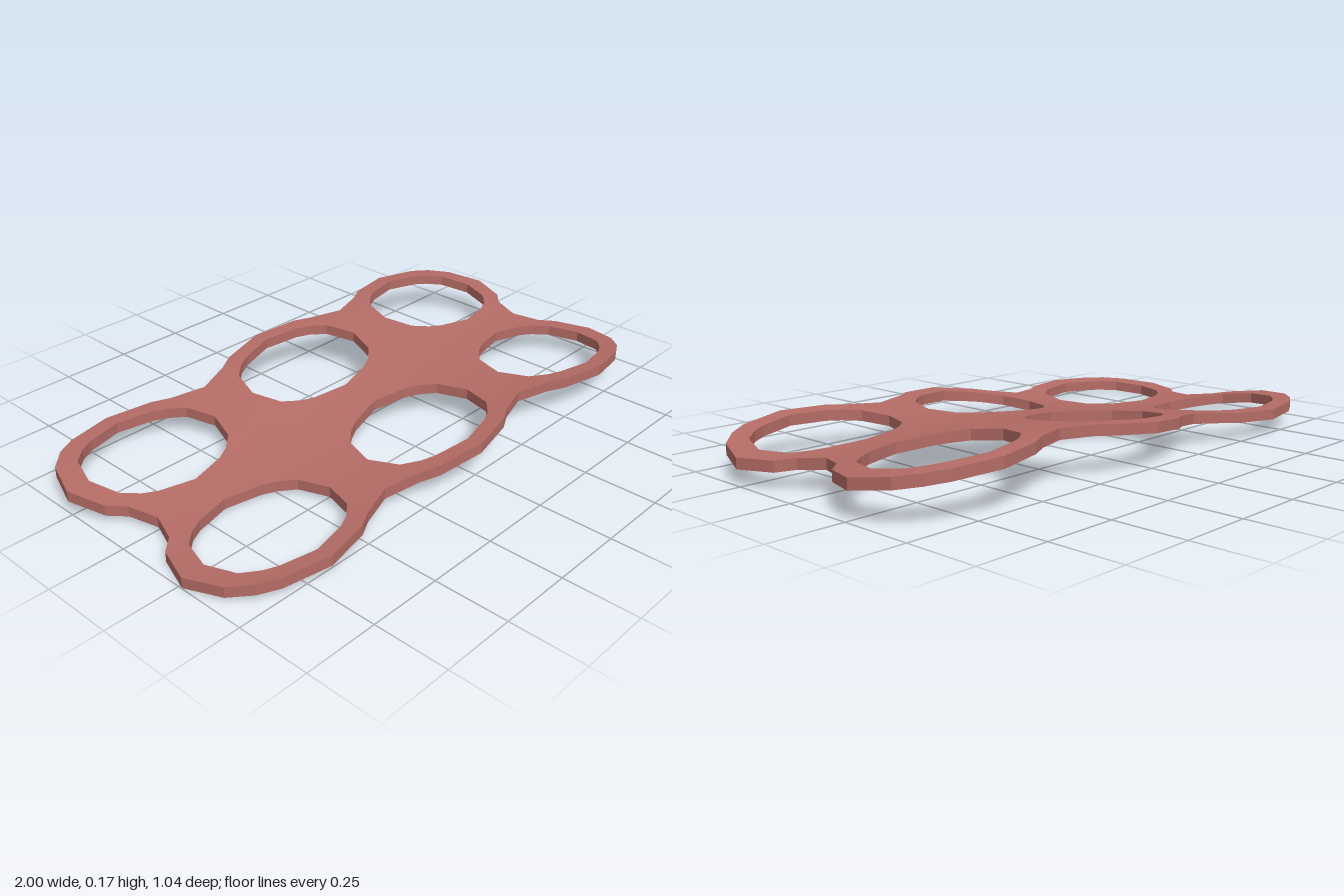
import * as THREE from 'three';
import { toCreasedNormals } from 'three/addons/utils/BufferGeometryUtils.js';

const THICK = 0.036;
const PITCH_X = 0.67, PITCH_Z = 0.265;
const RADIAL_STEPS = 3;

// Gentle bend of the sheet: one wave along x plus one along z
const wave = (at, height) => {
  const curve = new THREE.CubicInterpolant(at, height, 1);
  return (t) => curve.evaluate(t)[0];
};
const bendX = wave(
  [-1.01, -0.8, -0.6, -0.4, -0.2, 0, 0.2, 0.4, 0.6, 0.8, 1.01],
  [0.002, 0.001, 0.004, 0.016, 0.041, 0.065, 0.08, 0.085, 0.083, 0.072, 0.049]);
const bendZ = wave(
  [-0.53, -0.45, -0.3, -0.2, 0, 0.2, 0.3, 0.4, 0.53],
  [0.052, 0.054, 0.044, 0.034, 0.008, 0, 0.004, 0.012, 0.027]);

// Quarter outlines, from the x axis round to the z axis of one cell
const HOLE = [[0.25, 0], [0.217, 0.105], [0.167, 0.148], [0.122, 0.17], [0, 0.198]];
const FREE = [[0.33, 0], [0.285, 0.125], [0.225, 0.185], [0.16, 0.22], [0, 0.254]];
const JOIN_X = [[0.335, 0], [0.335, 0.15], [0.22, 0.187], [0.16, 0.22], [0, 0.254]];
const JOIN_Z = [[0.33, 0], [0.285, 0.125], [0.235, 0.17], [0.2, 0.265], [0, 0.265]];
const JOIN_XZ = [[0.335, 0], [0.335, 0.13], [0.335, 0.265], [0.165, 0.265], [0, 0.265]];

// Full 16-point loop from four quarters; pick(sx, sz) chooses each outline
function loop(pick) {
  const points = [];
  for (const [sx, sz] of [[1, 1], [-1, 1], [-1, -1], [1, -1]]) {
    const quarter = pick(sx, sz);
    for (let k = 0; k < 4; k++) {
      const [x, z] = quarter[sx === sz ? k : 4 - k];
      points.push([x * sx, z * sz]);
    }
  }
  return points;
}

// One ring with the share of web around it
function addCell(positions, col, row) {
  const cx = col * PITCH_X, cz = row * PITCH_Z;
  const joinsX = (sx) => col !== sx;
  const joinsZ = (sz) => row !== sz;
  const inner = loop(() => HOLE);
  const outer = loop((sx, sz) => joinsX(sx)
    ? (joinsZ(sz) ? JOIN_XZ : JOIN_X)
    : (joinsZ(sz) ? JOIN_Z : FREE));

  const point = (i, t, top) => {
    const a = inner[i % 16], b = outer[i % 16];
    const x = cx + a[0] + (b[0] - a[0]) * t;
    const z = cz + a[1] + (b[1] - a[1]) * t;
    return [x, bendX(x) + bendZ(z) + (top ? THICK : 0), z];
  };
  const quad = (a, b, c, d) => positions.push(...a, ...b, ...c, ...a, ...c, ...d);

  for (let i = 0; i < 16; i++) {
    const j = i + 1;
    // Top and bottom faces
    for (let s = 0; s < RADIAL_STEPS; s++) {
      const t = s / RADIAL_STEPS, u = (s + 1) / RADIAL_STEPS;
      quad(point(i, t, true), point(j, t, true), point(j, u, true), point(i, u, true));
      quad(point(i, t, false), point(i, u, false), point(j, u, false), point(j, t, false));
    }
    // Hole wall
    quad(point(i, 0, false), point(j, 0, false), point(j, 0, true), point(i, 0, true));
    // Rim wall, only where no other cell adjoins
    const a = outer[i], b = outer[j % 16];
    const seam = (axis, size) => Math.abs(a[axis]) === size && a[axis] === b[axis];
    if (!seam(0, 0.335) && !seam(1, PITCH_Z)) {
      quad(point(i, 1, false), point(i, 1, true), point(j, 1, true), point(j, 1, false));
    }
  }
}

export function createModel() {
  const group = new THREE.Group();
  group.name = 'canCarrier';

  const positions = [];
  for (const col of [-1, 0, 1]) for (const row of [-1, 1]) addCell(positions, col, row);

  const geometry = new THREE.BufferGeometry();
  geometry.setAttribute('position', new THREE.Float32BufferAttribute(positions, 3));
  const sheet = new THREE.Mesh(
    toCreasedNormals(geometry, 0.15),
    new THREE.MeshStandardMaterial({ color: 0xb56c66 }));
  sheet.name = 'ringSheet';
  group.add(sheet);
  return group;
}
